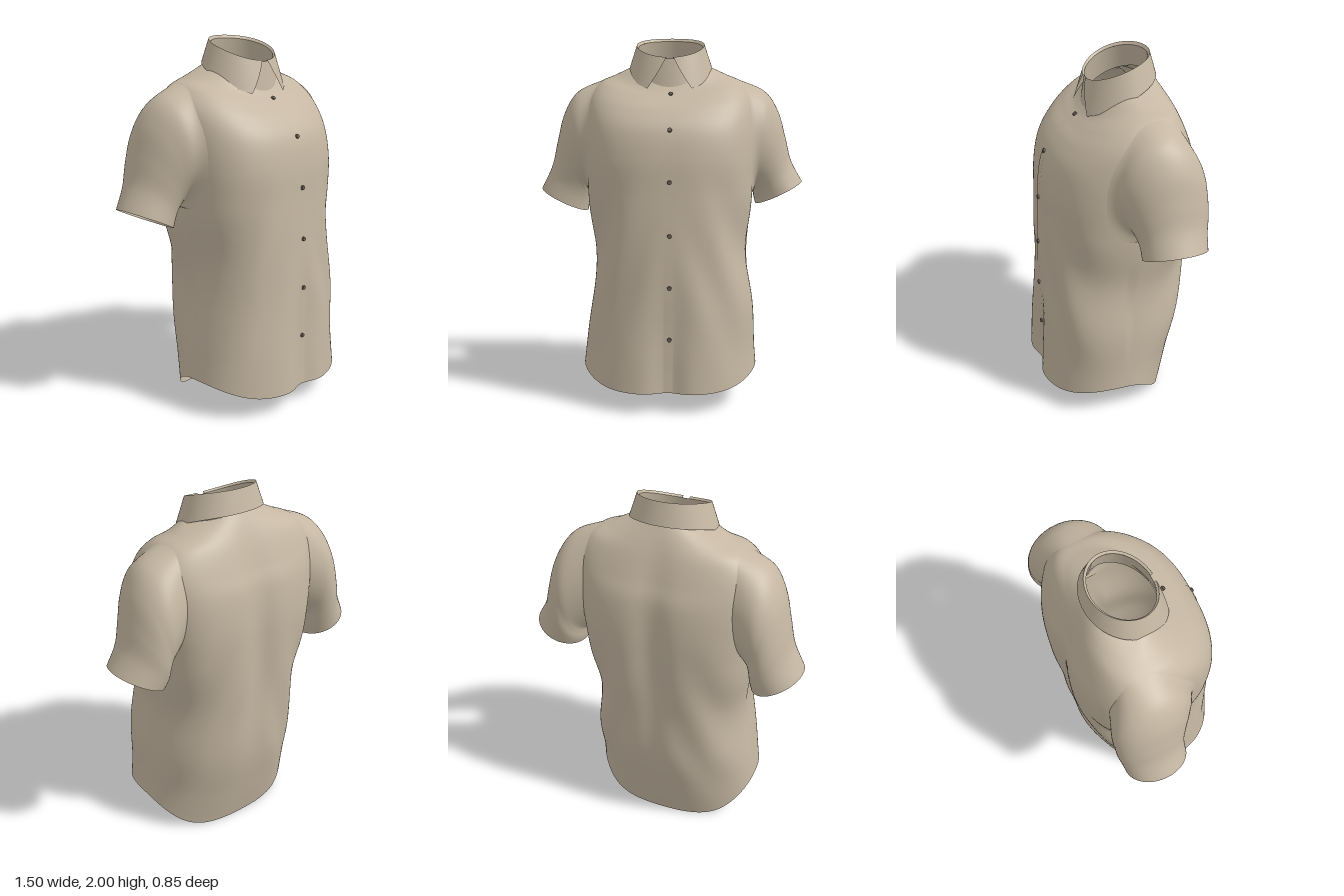
import * as THREE from 'three';

const cloth = new THREE.MeshStandardMaterial({ color: 0xc5b7a2, side: THREE.DoubleSide });
cloth.name = 'beige cloth';
const dark = new THREE.MeshStandardMaterial({ color: 0x685c50 });
dark.name = 'button brown';

// Surface through a grid of points fn(u, v), optionally closed around u, with cells left out by skip
function sheet(name, fn, nu, nv, closed, flip, skip = () => false) {
  const pos = [], idx = [], cols = closed ? nu : nu + 1;
  for (let j = 0; j <= nv; j++)
    for (let i = 0; i < cols; i++) pos.push(...fn(i / nu, j / nv));
  for (let j = 0; j < nv; j++)
    for (let i = 0; i < nu; i++) {
      if (skip((i + 0.5) / nu, (j + 0.5) / nv)) continue;
      const k = (i + 1) % cols;
      const a = j * cols + i, b = j * cols + k, c = a + cols, d = b + cols;
      if (flip) idx.push(a, c, b, b, c, d);
      else idx.push(a, b, c, b, d, c);
    }
  const g = new THREE.BufferGeometry();
  g.setAttribute('position', new THREE.Float32BufferAttribute(pos, 3));
  g.setIndex(idx);
  g.computeVertexNormals();
  const m = new THREE.Mesh(g, cloth);
  m.name = name;
  return m;
}

// Smooth interpolation between rows of section values
function blend(rows, v) {
  const n = rows.length - 1, i = Math.min(Math.floor(v * n), n - 1), t = v * n - i;
  const r = (k) => rows[Math.max(0, Math.min(n, k))];
  return rows[0].map((_, c) => {
    const p0 = r(i - 1)[c], p1 = r(i)[c], p2 = r(i + 1)[c], p3 = r(i + 2)[c];
    return p1 + 0.5 * t * (p2 - p0 + t * (2 * p0 - 5 * p1 + 4 * p2 - p3 + t * (3 * (p1 - p2) + p3 - p0)));
  });
}

const power = (c, n) => Math.sign(c) * Math.pow(Math.abs(c), 2 / n);
const bump = (x, c, w) => Math.exp(-(((x - c) / w) ** 2));

// Body sections: half width, side z, front z, back z, front y, side y, back y, squareness
const body = [
  [0.485, 0.03, 0.44, -0.28, 0.11, 0.19, 0.0, 2.3],
  [0.47, 0.03, 0.43, -0.335, 0.28, 0.32, 0.22, 2.3],
  [0.453, 0.02, 0.412, -0.39, 0.5, 0.52, 0.5, 2.4],
  [0.428, 0.0, 0.392, -0.415, 0.85, 0.85, 0.85, 2.4],
  [0.455, -0.02, 0.375, -0.43, 1.15, 1.15, 1.15, 2.5],
  [0.47, -0.05, 0.365, -0.43, 1.35, 1.35, 1.35, 2.6],
  [0.475, -0.1, 0.332, -0.41, 1.5, 1.52, 1.52, 2.6],
  [0.465, -0.14, 0.265, -0.37, 1.6, 1.66, 1.63, 2.5],
  [0.405, -0.15, 0.195, -0.325, 1.66, 1.755, 1.74, 2.4],
  [0.31, -0.13, 0.148, -0.285, 1.698, 1.8, 1.82, 2.1],
  [0.205, -0.07, 0.112, -0.245, 1.735, 1.845, 1.885, 2],
];

function bodyPoint(u, v) {
  const [w, zc, zf, zb, yf, ys, yb, n] = blend(body, v);
  const a = u * Math.PI * 2, c = Math.cos(a), s = Math.sin(a);
  // The hem stays flat across front and back, then curves up at the sides
  const y = ys + ((s > 0 ? yf : yb) - ys) * (1 - Math.pow(Math.abs(c), 4 - 2 * Math.min(1, 2 * v)));
  const square = s < 0 ? n + 1.1 * bump(y, 1.25, 0.4) : n;
  let x = w * power(c, n);
  let z = zc + (s > 0 ? zf - zc : zc - zb) * power(s, square);
  // Groove along the spine and a dip along the lower front
  if (s < 0) z += 0.035 * bump(x, 0, 0.09) * bump(y, 1.2, 0.5);
  else z -= 0.045 * bump(x, 0, 0.09) * bump(y, 0.15, 0.45);
  // Soft folds falling diagonally towards the sides
  const f = 0.01 * bump(y, 0.75, 0.4) * Math.sin(Math.abs(x) * 24 + y * 9 + (s < 0 ? 1 : 0)) * Math.min(1, Math.abs(c) * 1.6);
  x += f * c + 0.014 * bump(y, 0.58, 0.22);
  z += f * s;
  return [x, y, z];
}

// Armhole: an oval on the body's own surface, from underarm to shoulder
const hole = { v: 0.61, rv: 0.215, front: 0.066, back: 0.1 };
function insideArmhole(u, v) {
  const du = Math.abs(u - 0.5) < 0.25 ? 0.5 - u : u > 0.5 ? u - 1 : u;
  return (du / (du > 0 ? hole.front : hole.back)) ** 2 + ((v - hole.v) / hole.rv) ** 2 < 0.92;
}

// Sleeve sections: outer x, outer y, inner x, inner y, back z, front z
const sleeve = [
  [0.53, 1.705, 0.468, 1.14, -0.36, 0.082],
  [0.61, 1.59, 0.474, 1.12, -0.362, 0.048],
  [0.655, 1.44, 0.478, 1.1, -0.36, 0.02],
  [0.69, 1.31, 0.482, 1.085, -0.35, 0.003],
  [0.752, 1.195, 0.487, 1.065, -0.34, 0.0],
];

function sleevePoint(side, u, v) {
  const a = u * Math.PI * 2, c = Math.cos(a), s = Math.sin(a);
  const root = bodyPoint(s * (s > 0 ? hole.front : hole.back), hole.v + hole.rv * c);
  const rings = sleeve.map(([ox, oy, ix, iy, zb, zf]) => [
    (ox + ix) / 2 + ((ox - ix) / 2) * c,
    (oy + iy) / 2 + ((oy - iy) / 2) * c,
    (zb + zf) / 2 + ((zf - zb) / 2) * s,
  ]);
  const [x, y, z] = blend([root, ...rings], v);
  return [side * x, y - (side < 0 ? 0.045 * v * v : 0), z];
}

// Ring around the neck; t runs from the top fold (0) to the lower edge (1)
function neckPoint(a, t, rx0, rx1, rz0, rz1, lift) {
  const x = (rx0 + (rx1 - rx0) * t) * Math.sin(a);
  const z = -0.06 + (rz0 + (rz1 - rz0) * t) * Math.cos(a);
  const arch = Math.max(0, 1 - ((z + 0.06) / 0.2) ** 2);
  const top = 1.918 - 0.35 * z + 0.02 * arch + lift;
  const low = 1.766 - 0.47 * z + 0.024 * arch + lift;
  return [x, top + (low - top) * t, z];
}

export function createModel() {
  const shirt = new THREE.Group();
  shirt.name = 'shirt';
  shirt.add(sheet('body', bodyPoint, 240, 150, true, true, insideArmhole));
  for (const side of [1, -1])
    shirt.add(sheet(side > 0 ? 'leftSleeve' : 'rightSleeve', (u, v) => sleevePoint(side, u, v), 72, 36, true, side < 0));

  // Collar stand, and the turned-down collar with two points
  shirt.add(sheet('collarStand', (u, v) =>
    neckPoint(u * Math.PI * 2, v, 0.178, 0.205, 0.158, 0.184, -0.014), 64, 8, true, true));
  shirt.add(sheet('collar', (u, v) => {
    const a0 = 0.1 + 0.44 * v;
    const a = a0 + u * (Math.PI * 2 - 2 * a0);
    const p = neckPoint(a, v, 0.188, 0.234, 0.17, 0.203, 0);
    p[2] += 0.022 * v * Math.max(0, Math.cos(a));
    return p;
  }, 72, 10, false, true));
  shirt.add(sheet('collarFold', (u, v) => {
    const a = 0.1 + u * (Math.PI * 2 - 0.2);
    return neckPoint(a, 0, 0.178 + 0.01 * v, 0, 0.158 + 0.012 * v, 0, -0.014 + 0.014 * v);
  }, 72, 2, false, false));

  // Front centre line height lookup
  const frontAt = (y) => {
    let lo = 0, hi = 1;
    for (let i = 0; i < 30; i++) {
      const m = (lo + hi) / 2;
      if (bodyPoint(0.25, m)[1] < y) lo = m; else hi = m;
    }
    return bodyPoint(0.25, lo);
  };

  // Button placket
  shirt.add(sheet('placket', (u, v) => {
    const p = frontAt(0.112 + 1.58 * v);
    return [-0.022 + 0.05 * u, p[1], p[2] + 0.003];
  }, 2, 50, false, false));

  // Buttons down the front
  const buttonShape = new THREE.CylinderGeometry(0.011, 0.012, 0.01, 16).rotateX(Math.PI / 2);
  for (const y of [1.69, 1.505, 1.235, 0.955, 0.68, 0.4]) {
    const b = new THREE.Mesh(buttonShape, dark);
    const p = frontAt(y), q = frontAt(y + 0.02);
    b.name = 'button';
    b.position.set(0.008, y, p[2] + 0.007);
    b.rotation.x = Math.atan2(q[2] - p[2], q[1] - p[1]);
    shirt.add(b);
  }
  return shirt;
}
